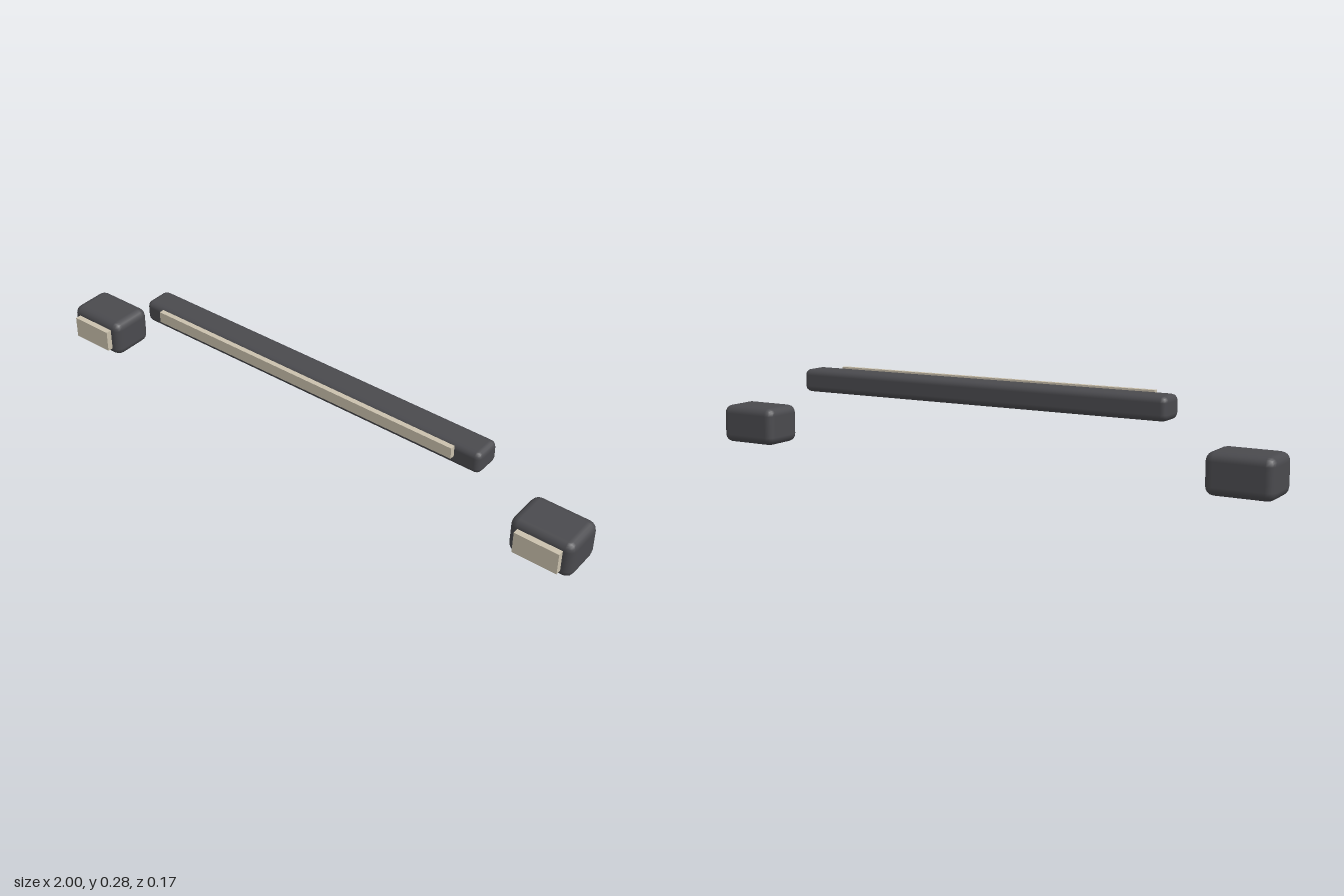
import * as THREE from 'three';
import { RoundedBoxGeometry } from 'three/addons/geometries/RoundedBoxGeometry.js';

export function createModel() {
  const model = new THREE.Group();
  model.name = 'lampSet';

  const charcoal = new THREE.MeshStandardMaterial({ color: 0x4a4a4e });
  charcoal.name = 'charcoal';
  const cream = new THREE.MeshStandardMaterial({ color: 0xcac1ad });
  cream.name = 'cream';

  const add = (name, geometry, material, x, y, z) => {
    const mesh = new THREE.Mesh(geometry, material);
    mesh.name = name;
    mesh.position.set(x, y, z);
    model.add(mesh);
  };

  // Long centre housing with its light strip floating just in front
  add('barHousing', new RoundedBoxGeometry(1.32, 0.076, 0.098, 2, 0.02), charcoal, 0, 0.236, -0.009);
  add('barLens', new THREE.BoxGeometry(1.152, 0.038, 0.017), cream, 0, 0.257, 0.055);

  // Outer lamp housings, each with a raised lens
  const housing = new RoundedBoxGeometry(0.214, 0.13, 0.152, 2, 0.028);
  const lens = new THREE.BoxGeometry(0.15, 0.075, 0.026);
  for (const [side, s] of [['left', 1], ['right', -1]]) {
    add(side + 'LampHousing', housing, charcoal, s * 0.894, 0.065, -0.009);
    add(side + 'LampLens', lens, cream, s * 0.894, 0.066, 0.074);
  }

  return model;
}
